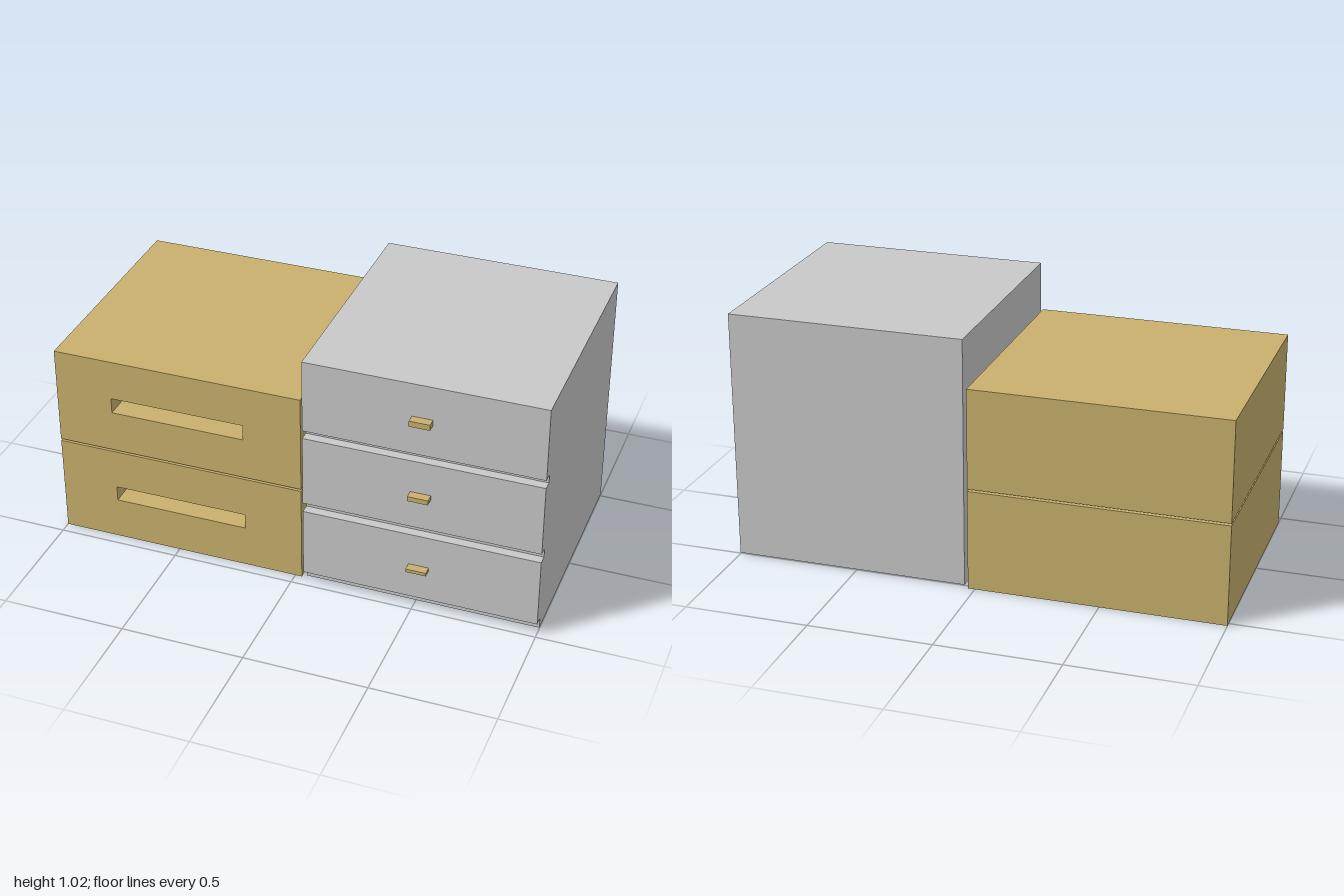
import * as THREE from 'three';

const wood = new THREE.MeshStandardMaterial({ color: 0xc8b06c });
wood.name = 'wood';
const grey = new THREE.MeshStandardMaterial({ color: 0xc8c8c8 });
grey.name = 'greyPaint';

function add(parent, name, geometry, material) {
  const mesh = new THREE.Mesh(geometry, material);
  mesh.name = name;
  parent.add(mesh);
  return mesh;
}

// Box given by its minimum and maximum corners
function boxBetween([x0, y0, z0], [x1, y1, z1]) {
  return new THREE.BoxGeometry(x1 - x0, y1 - y0, z1 - z0)
    .translate((x0 + x1) / 2, (y0 + y1) / 2, (z0 + z1) / 2);
}

function rectPoints(x0, y0, x1, y1) {
  return [[x0, y0], [x1, y0], [x1, y1], [x0, y1]].map(p => new THREE.Vector2(...p));
}

// Wooden drawer: pierced front over a solid body, leaving a recessed grip
function woodenDrawer(name, y0, y1, slot0, slot1) {
  const drawer = new THREE.Group();
  drawer.name = name;
  const left = -1, right = 0.028, back = -0.52, front = 0.453, recess = 0.12;
  const shape = new THREE.Shape(rectPoints(left, y0, right, y1));
  shape.holes.push(new THREE.Path(rectPoints(-0.765, slot0, -0.21, slot1)));
  const face = new THREE.ExtrudeGeometry(shape, { depth: recess, bevelEnabled: false });
  face.translate(0, 0, front - recess);
  add(drawer, 'drawerFront', face, wood);
  add(drawer, 'drawerBody', boxBetween([left, y0, back], [right, y1, front - recess]), wood);
  return drawer;
}

export function createModel() {
  const model = new THREE.Group();
  model.name = 'drawerUnits';

  // Low unit of two stacked drawers
  model.add(woodenDrawer('lowerWoodenDrawer', 0, 0.411, 0.177, 0.241));
  model.add(woodenDrawer('upperWoodenDrawer', 0.42, 0.828, 0.595, 0.66));

  // Tall cabinet: side profile (z, y) with grooves between the drawer fronts
  const front = 0.484, inner = 0.445, back = -0.505, bottom = 0.005, top = 1.018;
  const profile = [[back, bottom], [inner, bottom], [inner, 0.05], [front, 0.05]];
  for (const [g0, g1] of [[0.342, 0.381], [0.68, 0.714]]) {
    profile.push([front, g0], [inner, g0], [inner, g1], [front, g1]);
  }
  profile.push([front, top], [back, top]);
  const side = new THREE.Shape(profile.map(([z, y]) => new THREE.Vector2(z, y)));
  const x0 = 0.047, x1 = 1;
  const body = new THREE.ExtrudeGeometry(side, { depth: x1 - x0, bevelEnabled: false });
  body.rotateY(-Math.PI / 2).translate(x1, 0, 0);
  add(model, 'greyCabinet', body, grey);

  // Small wooden pulls, one on each cabinet drawer
  [[0.189, 0.203], [0.521, 0.541], [0.854, 0.878]].forEach(([y0, y1], i) => {
    add(model, `drawerPull${i + 1}`, boxBetween([0.48, y0, front], [0.562, y1, 0.52]), wood);
  });

  return model;
}
